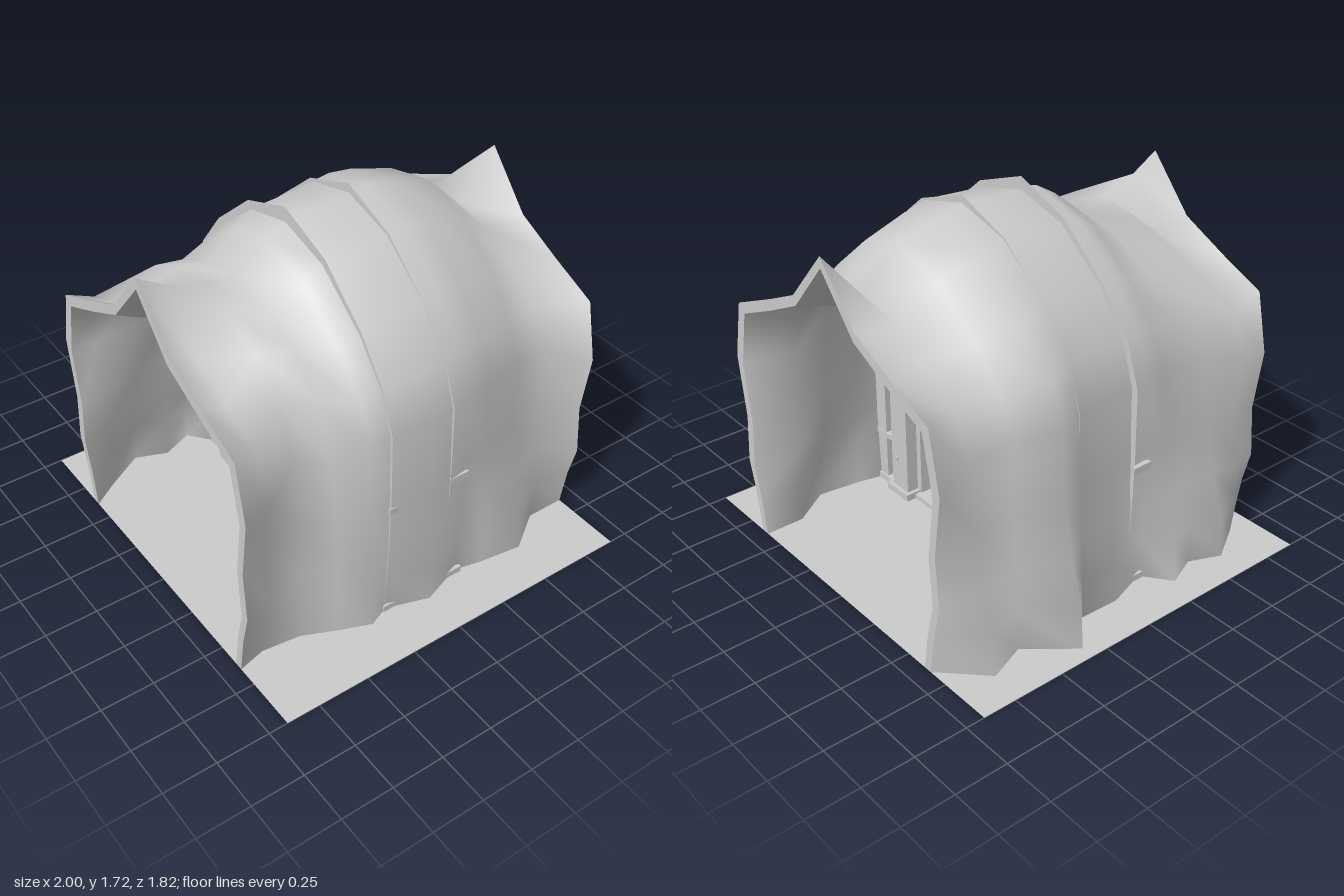
import * as THREE from 'three';

const grey = new THREE.MeshStandardMaterial({ color: 0xcccccc });
const greyTwoSided = new THREE.MeshStandardMaterial({ color: 0xcccccc, side: THREE.DoubleSide });

// Half cross-sections, from the foot on +x up to the apex
const END = [[.65, 0], [.68, .2], [.72, .36], [.70, .6], [.74, .9], [.68, 1.18], [.45, 1.28], [.22, 1.39], [0, 1.64]];
const MID = [[.74, 0], [.75, .2], [.76, .4], [.76, .65], [.75, 1], [.68, 1.2], [.53, 1.39], [.27, 1.59], [0, 1.66]];
const DIP = [[.64, 0], [.65, .2], [.65, .4], [.66, .65], [.62, .95], [.54, 1.18], [.39, 1.33], [.2, 1.43], [0, 1.47]];
const FLARE = [1, .85, .4, .1, 0, 0, 0, 0, 0];

// Outlines of the ribs that break through the rock
const RIB_OUTER = [[.73, 0], [.74, .2], [.75, .4], [.755, .65], [.75, 1], [.68, 1.2], [.53, 1.395], [.28, 1.61], [0, 1.715]];
const RIB_INNER = [[.62, 0], [.62, .2], [.62, .4], [.62, .7], [.58, .95], [.46, 1.2], [.3, 1.36], [.12, 1.45], [0, 1.47]];

// z, section, peak height, width scale (+x, -x), foot flare (+x, -x)
const STATIONS = [
  [.91, END, 1.64, 1, 1, 0, 0],
  [.78, END, 1.56, .95, .99, 0, .1],
  [.6, DIP, 1.5, .97, 1.07, .02, .17],
  [.45, DIP, 1.47, 1.06, 1.08, .03, .1],
  [.3, MID, 1.59, .97, .94, .05, .16],
  [.2, MID, 1.65, .98, .95, 0, .02],
  [0, MID, 1.66, 1, .96, .05, .08],
  [-.2, MID, 1.68, .97, .99, 0, .05],
  [-.33, MID, 1.65, .93, 1.05, .06, .16],
  [-.54, MID, 1.59, .86, .97, .14, .05],
  [-.72, DIP, 1.41, .97, 1.09, .03, .14],
  [-.91, END, 1.64, 1, 1, 0, 0],
];

// Full section running foot (+x) to apex to foot (-x)
function section([z, half, top, sr, sl, fr, fl], inner) {
  const k = top / half[half.length - 1][1];
  const side = (s, scale, flare) => half.map(([x, y], i) => {
    const w = x * scale + flare * FLARE[i];
    const h = i > 4 ? y * k : y;
    return new THREE.Vector3(s * (inner ? w * .94 : w), inner ? h * .968 : h, z);
  });
  return [...side(1, sr, fr), ...side(-1, sl, fl).reverse().slice(1)];
}

// Surface through rows of points
function skin(rows, flip) {
  const n = rows[0].length, index = [];
  for (let i = 0; i < rows.length - 1; i++) for (let j = 0; j < n - 1; j++) {
    const a = i * n + j, b = a + 1, c = a + n, d = c + 1;
    index.push(...(flip ? [a, b, c, b, d, c] : [a, c, b, b, c, d]));
  }
  const g = new THREE.BufferGeometry().setFromPoints(rows.flat());
  g.setIndex(index);
  g.computeVertexNormals();
  return g;
}

function add(parent, name, geometry, x = 0, y = 0, z = 0, material = grey) {
  const m = new THREE.Mesh(geometry, material);
  m.name = name;
  m.position.set(x, y, z);
  parent.add(m);
  return m;
}

// Box given by its limits
function block(parent, name, x0, x1, y0, y1, z0, z1) {
  add(parent, name, new THREE.BoxGeometry(Math.abs(x1 - x0), y1 - y0, Math.abs(z1 - z0)),
    (x0 + x1) / 2, (y0 + y1) / 2, (z0 + z1) / 2);
}

// Pointed arch half-outline, optionally with legs to the floor
const arch = (a, spring, apex, legs) => [
  ...(legs ? [[a, 0]] : []),
  ...[[1, 0], [.85, .39], [.56, .66], [.3, .87], [0, 1]].map(([u, v]) => [a * u, spring + (apex - spring) * v]),
];

const full = half => [...half, ...half.slice(0, -1).reverse().map(([x, y]) => [-x, y])];
const at = (half, z) => full(half).map(([x, y]) => new THREE.Vector3(x, y, z));

// Extruded band between two arch outlines
function archBand(parent, name, outer, inner, z) {
  const pts = [...full(outer), ...full(inner).reverse()];
  const shape = new THREE.Shape(pts.map(p => new THREE.Vector2(...p)));
  add(parent, name, new THREE.ExtrudeGeometry(shape, { depth: 2 * z, bevelEnabled: false }), 0, 0, -z);
}

function buildShell() {
  const shell = new THREE.Group();
  shell.name = 'rockTunnel';
  const outer = STATIONS.map(s => section(s, false));
  const inner = STATIONS.map(s => section(s, true));
  const last = outer.length - 1;
  add(shell, 'outerRock', skin(outer, false));
  add(shell, 'innerRock', skin(inner, true));
  add(shell, 'frontRim', skin([outer[0], inner[0]], true));
  add(shell, 'backRim', skin([outer[last], inner[last]], false));
  return shell;
}

// Rib with faces to the front, back and inside; its outer side is left open to the rock
function buildRib(z0, z1) {
  const rib = new THREE.Group();
  rib.name = 'rib';
  add(rib, 'ribFront', skin([at(RIB_OUTER, z1), at(RIB_INNER, z1)], true));
  add(rib, 'ribBack', skin([at(RIB_OUTER, z0), at(RIB_INNER, z0)], false));
  add(rib, 'ribInside', skin([at(RIB_INNER, z1), at(RIB_INNER, z0)], true));
  return rib;
}

// Shallow pointed niche above the lintel
function nicheGeometry() {
  const rows = [0, 18, 36, 54, 72, 89].map(deg => {
    const t = THREE.MathUtils.degToRad(deg), s = Math.cos(t);
    return at(arch(.40 * s, .72, .72 + .44 * s), .1 - .08 * Math.sin(t));
  });
  return skin(rows, true);
}

function buildGate() {
  const gate = new THREE.Group();
  gate.name = 'gate';

  // Central wall with the doorway and the niches above it
  const wallOutline = MID.map(([x, y]) => [x * .95, y * .95]);
  archBand(gate, 'wall', wallOutline, arch(.40, .72, 1.16, true), .11);
  for (const turn of [0, Math.PI]) add(gate, 'niche', nicheGeometry()).rotation.y = turn;
  block(gate, 'lintel', -.4, .4, .7, .73, -.1, .1);
  block(gate, 'threshold', -.41, .41, 0, .025, -.2, .2);

  // Layered mouldings and ribs
  archBand(gate, 'lowerMoulding', arch(.49, .71, 1.22), arch(.40, .71, 1.16), .15);
  archBand(gate, 'upperMoulding', arch(.56, .71, 1.31), arch(.49, .71, 1.22), .18);
  gate.add(buildRib(.11, .21), buildRib(-.21, -.11));

  for (const s of [1, -1]) {
    // Jambs and open door leaves
    block(gate, 'jamb', s * .31, s * .41, 0, .7, -.1, .1);
    block(gate, 'doorLeaf', s * .23, s * .31, .02, .7, -.05, .05);

    for (const f of [1, -1]) {
      // Column with plinth, stepped capital and side shaft
      block(gate, 'column', s * .43, s * .55, 0, .69, f * .1, f * .23);
      block(gate, 'sideShaft', s * .40, s * .44, 0, .69, f * .1, f * .17);
      block(gate, 'plinth', s * .41, s * .57, 0, .035, f * .1, f * .25);
      block(gate, 'capitalNeck', s * .42, s * .56, .67, .695, f * .1, f * .24);
      block(gate, 'capital', s * .405, s * .57, .695, .72, f * .1, f * .25);
      // Bands running from the column into the rock
      block(gate, 'upperBand', s * .55, s * .75, .58, .615, f * .11, f * .215);
      block(gate, 'upperBandLip', s * .55, s * .735, .565, .58, f * .11, f * .2);
      block(gate, 'lowerBand', s * .55, s * .70, .255, .28, f * .11, f * .215);
      block(gate, 'footBand', s * .55, s * .74, 0, .03, f * .11, f * .22);
      // Small ring fixed to the column
      add(gate, 'columnRing', new THREE.TorusGeometry(.01, .004, 6, 12), s * .51, .195, f * .235);
    }
  }
  return gate;
}

export function createModel() {
  const model = new THREE.Group();
  model.name = 'tunnelGate';
  const ground = new THREE.PlaneGeometry(2, 1.82).rotateX(-Math.PI / 2);
  add(model, 'ground', ground, 0, 0, 0, greyTwoSided);
  model.add(buildShell(), buildGate());
  return model;
}
